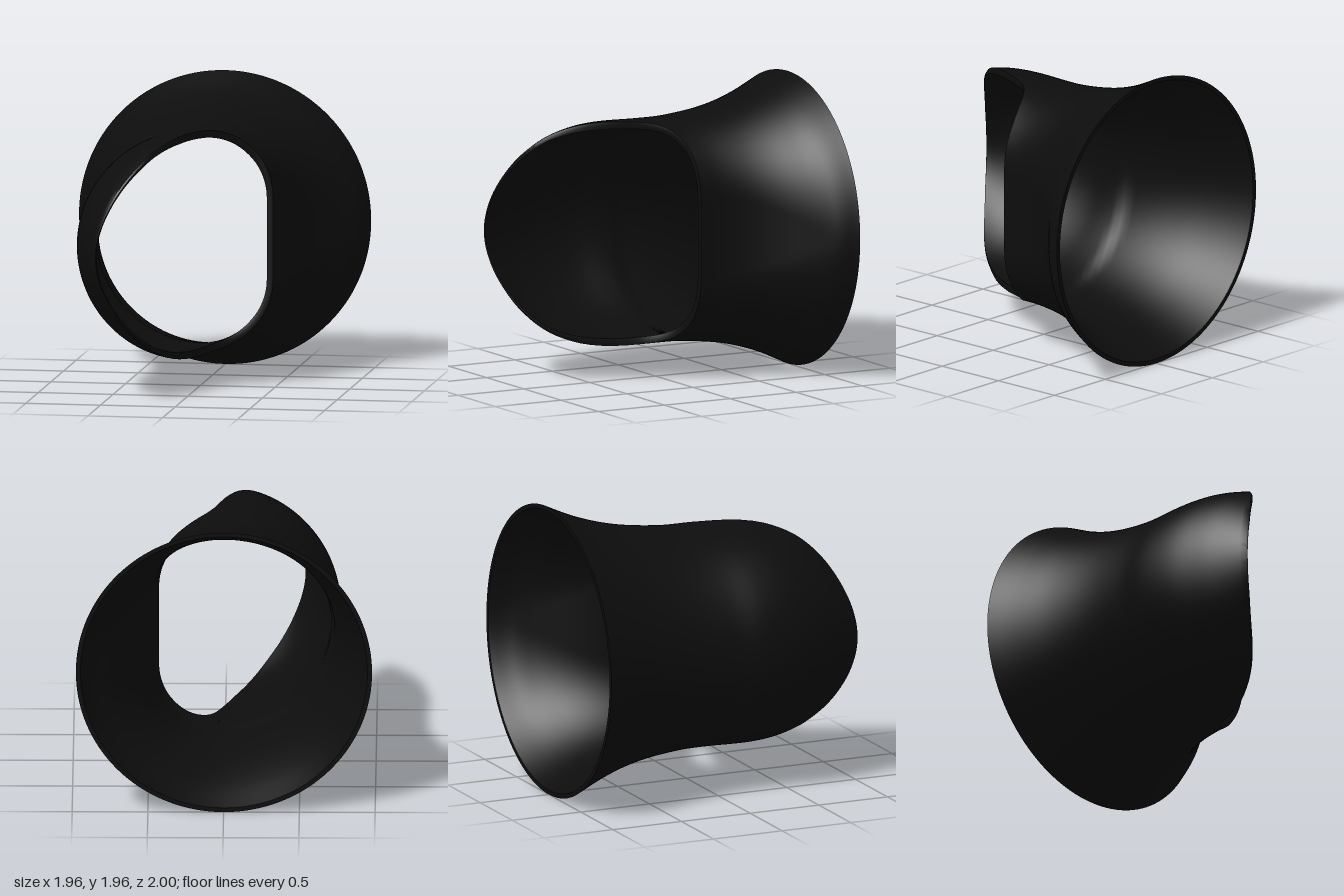
import * as THREE from 'three';
import { toCreasedNormals } from 'three/addons/utils/BufferGeometryUtils.js';

const CENTRE_Y = 0.982, AROUND = 144, ALONG = 48;

// Profiles along z, as [z, size] pairs
const leftReach = [[-1, 0.98], [-0.79, 0.895], [-0.55, 0.815], [-0.29, 0.765], [0, 0.752], [0.24, 0.768], [0.47, 0.747], [0.69, 0.683], [0.85, 0.615], [1, 0.54]];
const rightReach = [[-1, 0.975], [-0.87, 0.905], [-0.74, 0.775], [-0.58, 0.645], [-0.42, 0.555], [-0.24, 0.495], [-0.07, 0.475], [0.1, 0.472], [1, 0.472]];
const halfHeight = [[-1, 0.98], [-0.8, 0.89], [-0.6, 0.823], [-0.4, 0.78], [-0.13, 0.75], [0.05, 0.747], [0.43, 0.747], [0.67, 0.7], [0.83, 0.62], [0.94, 0.535], [1, 0.48]];
const thickness = [[-1, 0.03], [-0.12, 0.03], [-0.06, 0.048], [0.45, 0.048], [1, 0.014]];
// Front rim, as [x, z] pairs
const rimLine = [[-0.54, 1], [-0.46, 0.94], [-0.26, 0.76], [-0.1, 0.53], [0, 0.32], [0.08, 0.13], [0.19, 0.02], [0.35, -0.05], [0.475, -0.07]];

// Smooth (or straight) interpolation through a table, clamped at the ends
function sample(table, t, smooth = true) {
  const n = table.length - 1;
  if (t <= table[0][0]) return table[0][1];
  if (t >= table[n][0]) return table[n][1];
  let i = 0;
  while (t > table[i + 1][0]) i++;
  const [t0, a] = table[i], [t1, b] = table[i + 1], h = t1 - t0, u = (t - t0) / h;
  if (!smooth) return a + (b - a) * u;
  const slope = (k) => {
    const p = table[Math.max(0, k - 1)], q = table[Math.min(n, k + 1)];
    return (q[1] - p[1]) / (q[0] - p[0]);
  };
  const u2 = u * u, u3 = u2 * u;
  return a * (2 * u3 - 3 * u2 + 1) + b * (3 * u2 - 2 * u3)
    + h * (slope(i) * (u3 - 2 * u2 + u) + slope(i + 1) * (u3 - u2));
}

// Cross-section: half ellipse on one side, flat side with round corners on the other
function section(angle, z, inset) {
  const c = Math.cos(angle), s = Math.abs(Math.sin(angle)), sign = Math.sin(angle) < 0 ? -1 : 1;
  const H = sample(halfHeight, z) - inset;
  if (c < 0) return [(sample(leftReach, z) - inset) * c, sign * H * s];
  const R = Math.min(H, sample(rightReach, z) - inset), flat = H - R;
  const r = R * s < flat * c ? R / c : flat * s + Math.sqrt(Math.max(0, R * R - flat * flat * c * c));
  return [r * c, sign * r * s];
}

// Where the wall at this angle meets the slanted front rim
function rimDepth(angle) {
  let lo = -0.5, hi = 1;
  for (let i = 0; i < 30; i++) {
    const mid = (lo + hi) / 2;
    if (mid < sample(rimLine, section(angle, mid, 0)[0])) lo = mid;
    else hi = mid;
  }
  return (lo + hi) / 2;
}

// Closed wall: outside forward, round the rim, inside back
function eyecupGeometry() {
  const positions = [], index = [];
  const rows = 2 * (ALONG + 1) + 1;
  for (let i = 0; i < AROUND; i++) {
    const angle = (i / AROUND) * Math.PI * 2, front = rimDepth(angle);
    const add = (z, part) => {
      const [x, y] = section(angle, z, sample(thickness, z, false) * part);
      positions.push(x, y + CENTRE_Y, z);
    };
    const outerEnd = front - 0.006;
    for (let j = 0; j <= ALONG; j++) add(-1 + (outerEnd + 1) * j / ALONG, 0);
    add(front, 0.4);
    for (let j = ALONG; j >= 0; j--) add(-1 + (outerEnd + 1) * j / ALONG, 1);
  }
  for (let i = 0; i < AROUND; i++) {
    for (let j = 0; j < rows; j++) {
      const n = ((i + 1) % AROUND) * rows, m = i * rows, k = (j + 1) % rows;
      index.push(m + j, n + j, n + k, m + j, n + k, m + k);
    }
  }
  const geometry = new THREE.BufferGeometry();
  geometry.setAttribute('position', new THREE.Float32BufferAttribute(positions, 3));
  geometry.setIndex(index);
  return toCreasedNormals(geometry, 0.6);
}

export function createModel() {
  const group = new THREE.Group();
  group.name = 'eyecup';
  const rubber = new THREE.MeshStandardMaterial({ color: 0x0d0d0d });
  rubber.name = 'black rubber';
  const wall = new THREE.Mesh(eyecupGeometry(), rubber);
  wall.name = 'flaredCupWall';
  group.add(wall);
  return group;
}
